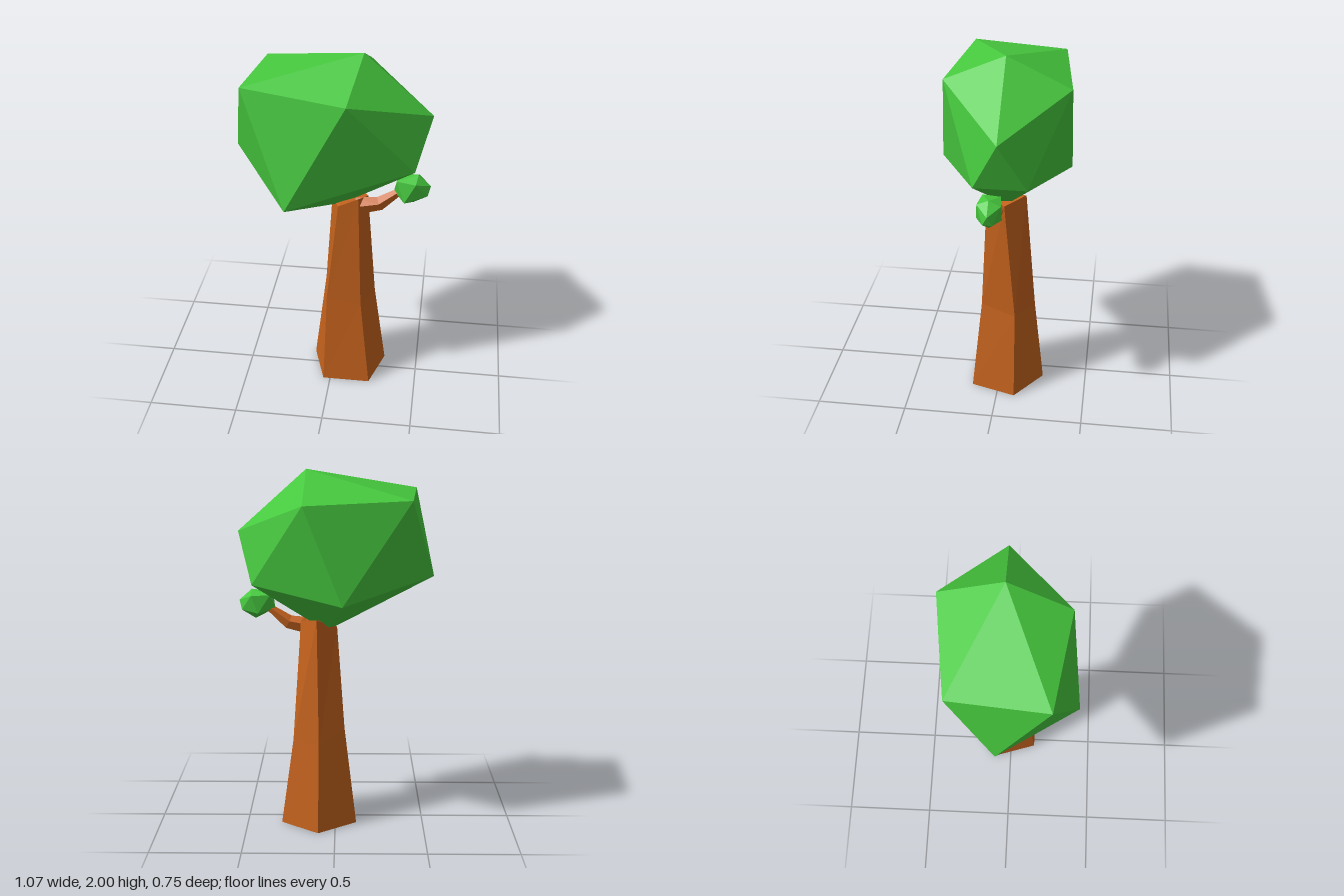
import * as THREE from 'three';
import { ConvexGeometry } from 'three/addons/geometries/ConvexGeometry.js';

const material = (color) => new THREE.MeshStandardMaterial({ color, flatShading: true });

// Closed faceted skin over a stack of rings with equal point counts
function loft(rings) {
  const n = rings[0].length;
  const index = [];
  for (let i = 0; i < rings.length - 1; i++) {
    for (let j = 0; j < n; j++) {
      const a = i * n + j, b = i * n + (j + 1) % n;
      index.push(a, b, b + n, a, b + n, a + n);
    }
  }
  const top = (rings.length - 1) * n;
  for (let j = 1; j < n - 1; j++) {
    index.push(0, j + 1, j);
    index.push(top, top + j, top + j + 1);
  }
  const geometry = new THREE.BufferGeometry();
  geometry.setAttribute('position', new THREE.Float32BufferAttribute(rings.flat(2), 3));
  geometry.setIndex(index);
  const faceted = geometry.toNonIndexed();
  faceted.computeVertexNormals();
  return faceted;
}

// Stretched, tilted icosahedron shared by both leaf clumps
const leafCentre = new THREE.Vector3(0, 1.56, 0);
const leafPoints = [
  [0.155, 2.0, -0.035], [-0.45, 1.88, 0.21], [0.10, 1.84, 0.30],
  [0.525, 1.67, -0.035], [0.165, 1.84, -0.375], [-0.40, 1.86, -0.305],
  [0.445, 1.40, 0.10], [0.445, 1.40, -0.18], [-0.21, 1.27, 0.37],
  [-0.535, 1.43, -0.06], [-0.04, 1.32, -0.375], [0.05, 1.115, -0.03],
].map((p) => new THREE.Vector3(...p).sub(leafCentre));

export function createModel() {
  const group = new THREE.Group();
  const bark = material(0xc4621d);
  const leaf = material(0x46c83e);
  const add = (name, geometry, mat) => {
    const mesh = new THREE.Mesh(geometry, mat);
    mesh.name = name;
    group.add(mesh);
    return mesh;
  };

  // Five-sided tapering trunk: foot, middle, uneven top
  add('trunk', loft([
    [[-0.04, 0, 0.15], [0.23, 0, 0.15], [0.305, 0, -0.10], [0.095, 0, -0.25], [-0.12, 0, -0.10]],
    [[-0.025, 0.55, 0.10], [0.17, 0.53, 0.10], [0.235, 0.50, -0.095], [0.09, 0.50, -0.195], [-0.052, 0.57, -0.095]],
    [[0.035, 1.15, 0.075], [0.145, 1.20, 0.07], [0.19, 1.17, -0.03], [0.10, 1.20, -0.14], [-0.01, 1.14, -0.04]],
  ]), bark);

  // Short bent branch: centre x, y, lean angle, radius
  const branchRings = [
    [0.13, 1.13, 0.1, 0.05], [0.26, 1.155, 0.45, 0.04], [0.37, 1.24, 0.65, 0.02],
  ].map(([x, y, lean, r]) => Array.from({ length: 5 }, (_, i) => {
    const a = (i / 5) * Math.PI * 2;
    const up = Math.cos(a) * r;
    return [x - Math.sin(lean) * up, y + Math.cos(lean) * up, 0.015 + Math.sin(a) * r];
  }));
  add('branch', loft(branchRings), bark);

  // Crown and its small copy at the branch tip
  const leafGeometry = new ConvexGeometry(leafPoints);
  add('crown', leafGeometry, leaf).position.copy(leafCentre);
  const tuft = add('branchLeaves', leafGeometry, leaf);
  tuft.position.set(0.433, 1.26, 0.022);
  tuft.scale.setScalar(0.187);

  return group;
}
